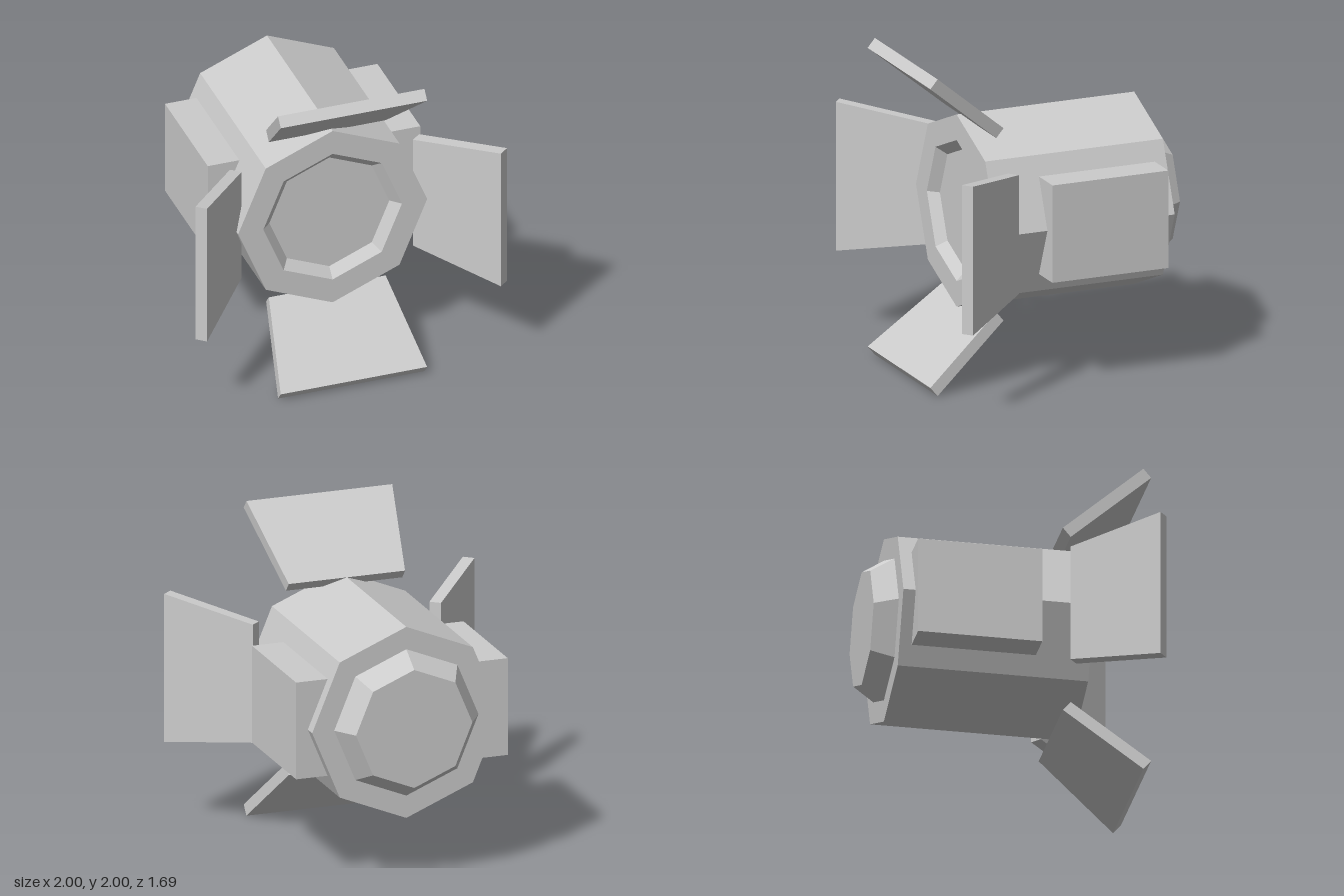
import * as THREE from 'three';

const material = new THREE.MeshStandardMaterial({ color: 0xcccccc, flatShading: true });

function addMesh(parent, name, geometry) {
  const mesh = new THREE.Mesh(geometry, material);
  mesh.name = name;
  parent.add(mesh);
  return mesh;
}

// Tapered, tilted plate: [radius, z] of its section, narrow at the hinge and wide at the tip
function flapGeometry() {
  const geometry = new THREE.BoxGeometry(1, 1, 1);
  const pos = geometry.attributes.position;
  for (let i = 0; i < pos.count; i++) {
    const tip = pos.getY(i) > 0;
    const front = pos.getZ(i) > 0;
    const halfWidth = tip ? 0.47 : 0.375;
    const [r, z] = tip
      ? (front ? [0.943, 0.845] : [1.0, 0.797])
      : (front ? [0.55, 0.368] : [0.607, 0.32]);
    pos.setXYZ(i, Math.sign(pos.getX(i)) * halfWidth, r, z);
  }
  geometry.computeVertexNormals();
  return geometry;
}

export function createModel() {
  const model = new THREE.Group();
  model.name = 'stageLight';

  // Octagonal housing: back cap, barrel, front rim and recessed lens
  const profile = [
    [0, -0.845], [0.375, -0.845], [0.465, -0.708], [0.607, -0.708],
    [0.607, 0.465], [0.445, 0.465], [0.385, 0.405], [0, 0.405],
  ].map(([r, z]) => new THREE.Vector2(r, z));
  const housing = addMesh(model, 'housing', new THREE.LatheGeometry(profile, 8));
  housing.rotation.x = Math.PI / 2;
  housing.position.y = 1;

  // Box on each side of the barrel
  for (const [side, name] of [[1, 'leftSideBox'], [-1, 'rightSideBox']]) {
    const box = addMesh(model, name, new THREE.BoxGeometry(0.22, 0.615, 0.765));
    box.position.set(side * 0.572, 1, -0.25);
  }

  // Four barn door flaps around the front
  const flap = flapGeometry();
  ['topFlap', 'rightFlap', 'bottomFlap', 'leftFlap'].forEach((name, i) => {
    const door = addMesh(model, name, flap);
    door.rotation.z = i * Math.PI / 2;
    door.position.y = 1;
  });

  return model;
}
